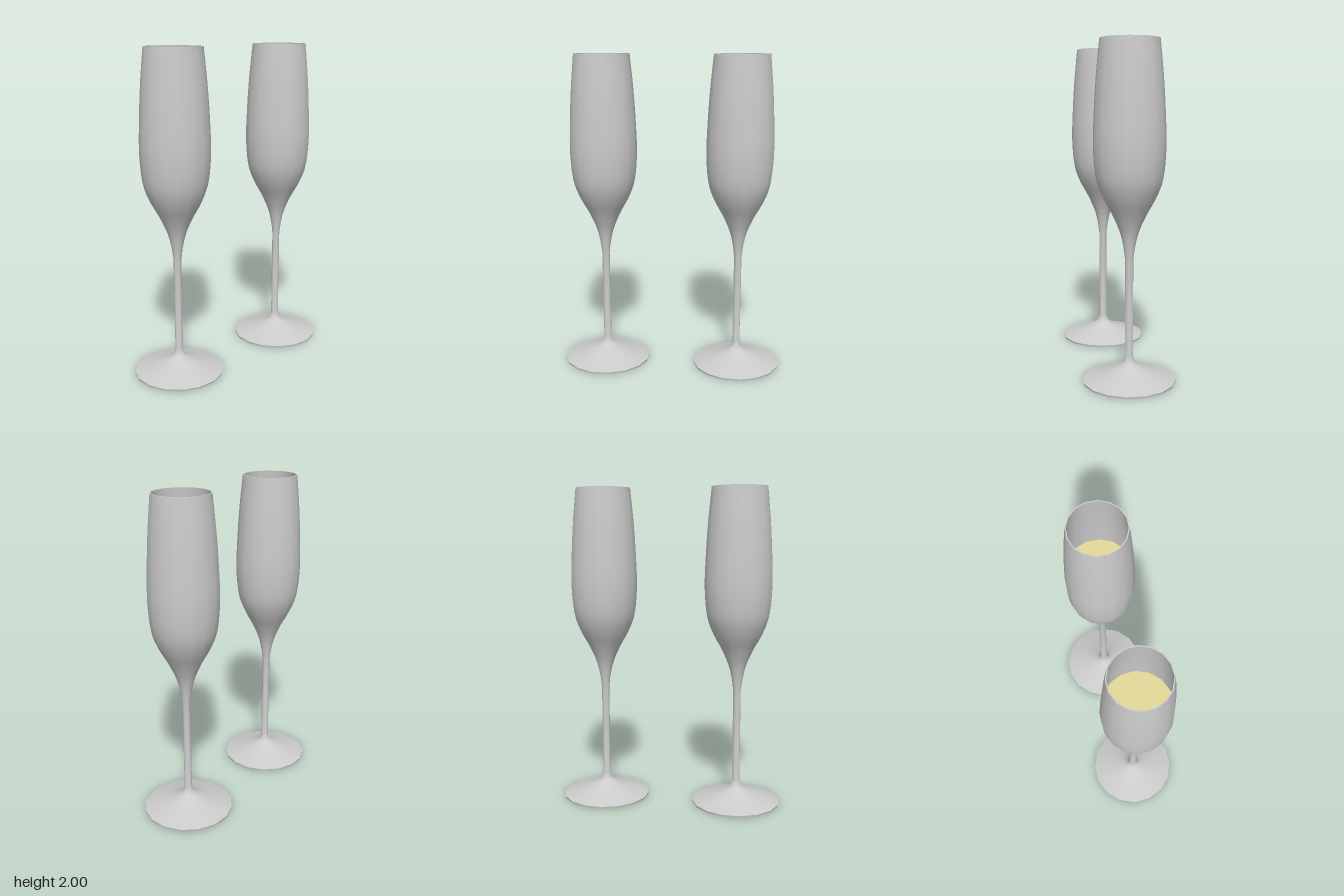
import * as THREE from 'three';
import { toCreasedNormals } from 'three/addons/utils/BufferGeometryUtils.js';

const SIDES = 16;
const WALL = 0.007;
const LIQUID_TOP = 1.55;

const glassMaterial = new THREE.MeshStandardMaterial({ color: 0xcccccc });
const liquidMaterial = new THREE.MeshStandardMaterial({ color: 0xe6da98 });

const points = (list) => list.map(([x, y]) => new THREE.Vector2(x, y));
const smooth = (list, n) => new THREE.SplineCurve(points(list)).getPoints(n);
const lathe = (profile) => toCreasedNormals(new THREE.LatheGeometry(profile, SIDES), 0.7);

// Outer profiles of foot and bowl, as [radius, height]
const foot = smooth([[0.28, 0.012], [0.2, 0.036], [0.12, 0.064], [0.065, 0.09], [0.036, 0.115], [0.024, 0.15]], 14);
const bowl = smooth([
  [0.024, 0.73], [0.034, 0.81], [0.056, 0.9], [0.1, 1.0], [0.155, 1.1],
  [0.194, 1.21], [0.21, 1.38], [0.206, 1.56], [0.193, 1.78], [0.172, 2],
], 30);
const underside = points([[0, 0.06], [0.03, 0.058], [0.08, 0.045], [0.15, 0.028], [0.278, 0]]);

// Inside of the bowl: the outer profile moved in by the wall thickness
const inside = (gap) => bowl.filter((p) => p.y > 0.84).map((p) => new THREE.Vector2(p.x - gap, p.y));

function createFlute() {
  const flute = new THREE.Group();

  // Foot, stem and bowl in one turned profile, from the hollow underside up and back into the bowl
  const cavity = inside(WALL).reverse();
  const floor = new THREE.Vector2(0, cavity[cavity.length - 1].y - 0.015);
  const glass = new THREE.Mesh(lathe([...underside, ...foot, ...bowl, ...cavity, floor]), glassMaterial);
  glass.name = 'glass';

  // Drink, filling the bowl up to a flat surface
  const body = inside(WALL + 0.002).filter((p) => p.y < LIQUID_TOP);
  const edge = new THREE.Vector2(body[body.length - 1].x, LIQUID_TOP);
  const bottom = new THREE.Vector2(0, body[0].y - 0.01);
  const liquid = new THREE.Mesh(lathe([bottom, ...body, edge, new THREE.Vector2(0, LIQUID_TOP)]), liquidMaterial);
  liquid.name = 'liquid';

  flute.add(glass, liquid);
  return flute;
}

export function createModel() {
  const model = new THREE.Group();
  model.name = 'champagneFlutes';

  const back = createFlute();
  back.name = 'backFlute';
  back.position.set(0.215, 0, -0.372);

  // Front glass, turned slightly
  const front = createFlute();
  front.name = 'frontFlute';
  front.position.set(-0.217, 0, 0.37);
  front.rotation.y = 0.055;

  model.add(back, front);
  return model;
}
